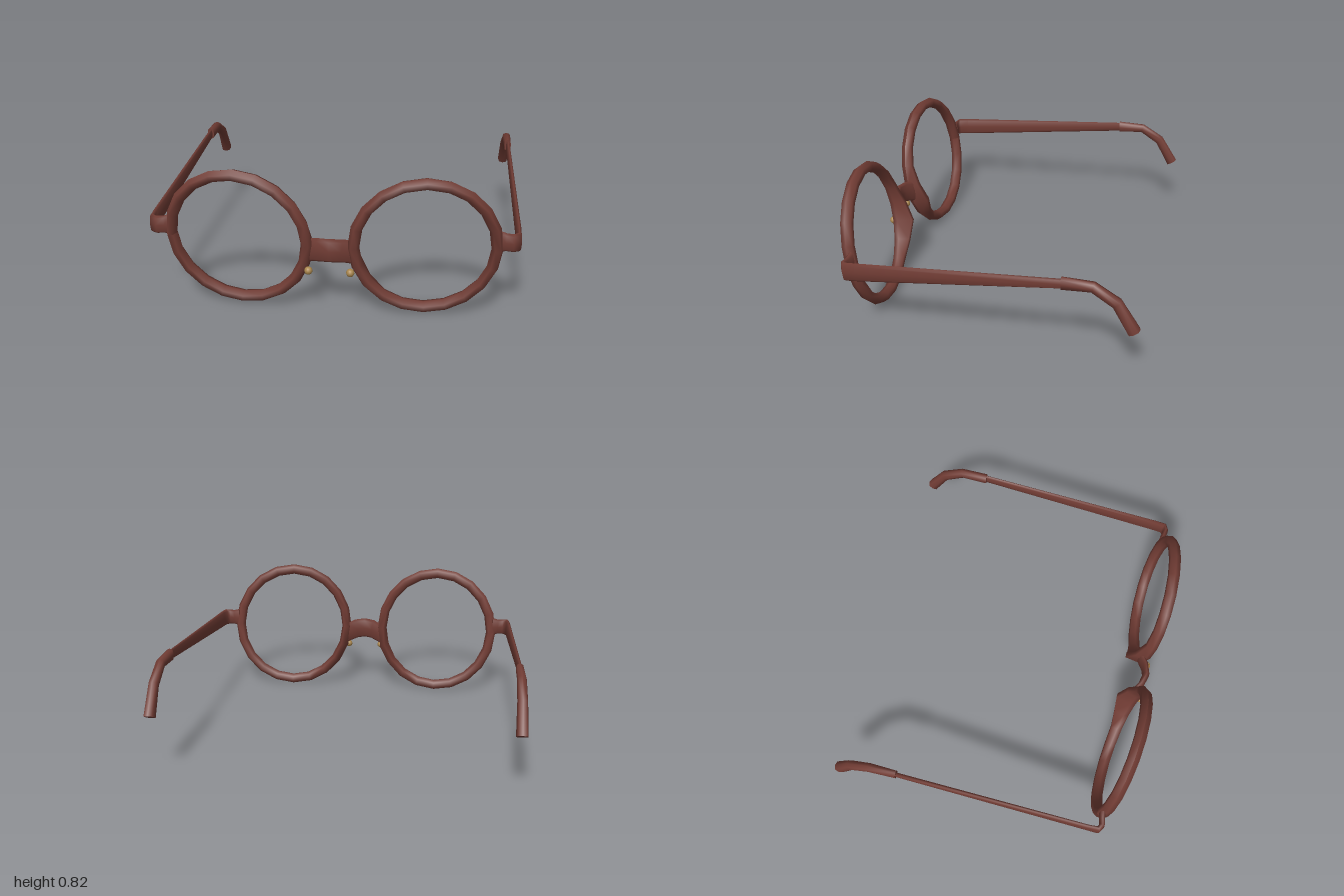
import * as THREE from 'three';

const frameMat = new THREE.MeshStandardMaterial({ color: 0x713c34 });
frameMat.name = 'reddish brown frame';
const beadMat = new THREE.MeshStandardMaterial({ color: 0xa8854c });
beadMat.name = 'brass';

// Sweeps an oval along sections [x, y, z, halfHeight, halfThickness], with flat ends.
function loft(sections, sides = 8) {
  const pts = sections.map(s => new THREE.Vector3(s[0], s[1], s[2]));
  const pos = [], index = [], last = pts.length - 1;
  pts.forEach((c, i) => {
    const before = c.clone().sub(pts[Math.max(i - 1, 0)]).normalize();
    const after = pts[Math.min(i + 1, last)].clone().sub(c).normalize();
    const t = before.add(after).normalize();
    const up = new THREE.Vector3(0, 1, 0).addScaledVector(t, -t.y).normalize();
    const side = t.clone().cross(up);
    for (let j = 0; j < sides; j++) {
      const a = (j / sides) * Math.PI * 2;
      const bulge = v => Math.sign(v) * Math.pow(Math.abs(v), 0.75);
      const p = c.clone()
        .addScaledVector(up, bulge(Math.cos(a)) * sections[i][3])
        .addScaledVector(side, bulge(Math.sin(a)) * sections[i][4]);
      pos.push(p.x, p.y, p.z);
    }
  });
  for (let i = 0; i < last; i++) {
    for (let j = 0; j < sides; j++) {
      const k = (j + 1) % sides;
      const a = i * sides + j, b = i * sides + k;
      index.push(a, b, b + sides, a, b + sides, a + sides);
    }
  }
  // End caps with their own vertices, so their edges stay sharp
  for (const end of [0, last]) {
    const base = pos.length / 3;
    pos.push(...pos.slice(end * sides * 3, (end + 1) * sides * 3));
    for (let j = 1; j < sides - 1; j++) {
      if (end) index.push(base, base + j, base + j + 1);
      else index.push(base, base + j + 1, base + j);
    }
  }
  const geo = new THREE.BufferGeometry();
  geo.setAttribute('position', new THREE.Float32BufferAttribute(pos, 3));
  geo.setIndex(index);
  geo.computeVertexNormals();
  return geo;
}

// Mirrored copy across x = 0
function mirrored(geo) {
  const m = geo.clone().scale(-1, 1, 1);
  const idx = m.index.array;
  for (let i = 0; i < idx.length; i += 3) [idx[i], idx[i + 1]] = [idx[i + 1], idx[i]];
  m.computeVertexNormals();
  return m;
}

// Round rim whose back swells into a nose pad on the inner lower side
function rimGeometry() {
  const geo = new THREE.TorusGeometry(0.382, 0.032, 6, 20);
  const p = geo.attributes.position;
  const padAngle = Math.PI * 1.1;
  for (let i = 0; i < p.count; i++) {
    const x = p.getX(i), y = p.getY(i), z = p.getZ(i);
    const angle = (Math.atan2(y, x) + Math.PI * 2) % (Math.PI * 2);
    const w = Math.exp(-Math.pow((angle - padAngle) / 0.38, 2));
    p.setZ(i, z * 1.1 - (z < -0.01 ? 0.06 * w : 0));
  }
  geo.computeVertexNormals();
  // Make the normals match where the ring closes on itself
  const n = geo.attributes.normal;
  const v = new THREE.Vector3(), sum = new THREE.Vector3(), groups = new Map();
  for (let i = 0; i < p.count; i++) {
    const key = [p.getX(i), p.getY(i), p.getZ(i)].map(c => Math.round(c * 1e4)).join();
    if (!groups.has(key)) groups.set(key, []);
    groups.get(key).push(i);
  }
  for (const ids of groups.values()) {
    sum.set(0, 0, 0);
    ids.forEach(i => sum.add(v.fromBufferAttribute(n, i)));
    sum.normalize();
    ids.forEach(i => n.setXYZ(i, sum.x, sum.y, sum.z));
  }
  return geo;
}

export function createModel() {
  const model = new THREE.Group();
  model.name = 'eyeglasses';
  const add = (geo, mat, name) => {
    const mesh = new THREE.Mesh(geo, mat);
    mesh.name = name;
    model.add(mesh);
    return mesh;
  };

  // Tilted rims, swept back a little at the outer sides
  const rim = rimGeometry();
  for (const s of [1, -1]) {
    const mesh = add(s > 0 ? rim : mirrored(rim), frameMat, s > 0 ? 'leftRim' : 'rightRim');
    mesh.position.set(s * 0.49, 0.42, 0.74);
    mesh.rotation.set(0.157, s * 0.07, 0);
    mesh.scale.x = 0.965;
  }

  // Arched nose bridge
  const half = [
    [0.135, 0.375, 0.735, 0.075, 0.018],
    [0.1, 0.38, 0.75, 0.064, 0.018],
    [0.055, 0.395, 0.778, 0.066, 0.018],
  ];
  const otherHalf = half.map(([x, ...rest]) => [-x, ...rest]).reverse();
  add(loft([...half, [0, 0.4, 0.792, 0.066, 0.02], ...otherHalf]), frameMat, 'bridge');

  // Hinge corner and straight temple arm
  const temple = loft([
    [0.865, 0.465, 0.71, 0.06, 0.018],
    [0.9, 0.465, 0.715, 0.05, 0.016],
    [0.935, 0.465, 0.722, 0.05, 0.016],
    [0.963, 0.465, 0.705, 0.055, 0.017],
    [0.965, 0.472, 0.64, 0.055, 0.013],
    [0.963, 0.588, -0.46, 0.028, 0.012],
  ]);
  // Thicker ear tip bending down
  const earTip = loft([
    [0.962, 0.588, -0.44, 0.036, 0.021],
    [0.962, 0.592, -0.595, 0.027, 0.025],
    [0.963, 0.518, -0.715, 0.029, 0.027],
    [0.965, 0.367, -0.808, 0.034, 0.031],
  ]);
  add(temple, frameMat, 'leftTemple');
  add(mirrored(temple), frameMat, 'rightTemple');
  add(earTip, frameMat, 'leftEarTip');
  add(mirrored(earTip), frameMat, 'rightEarTip');

  // Small brass beads beside the nose
  for (const s of [1, -1]) {
    const bead = add(new THREE.SphereGeometry(0.022, 12, 8), beadMat, s > 0 ? 'leftBead' : 'rightBead');
    bead.position.set(s * 0.11, 0.28, 0.795);
  }
  return model;
}
